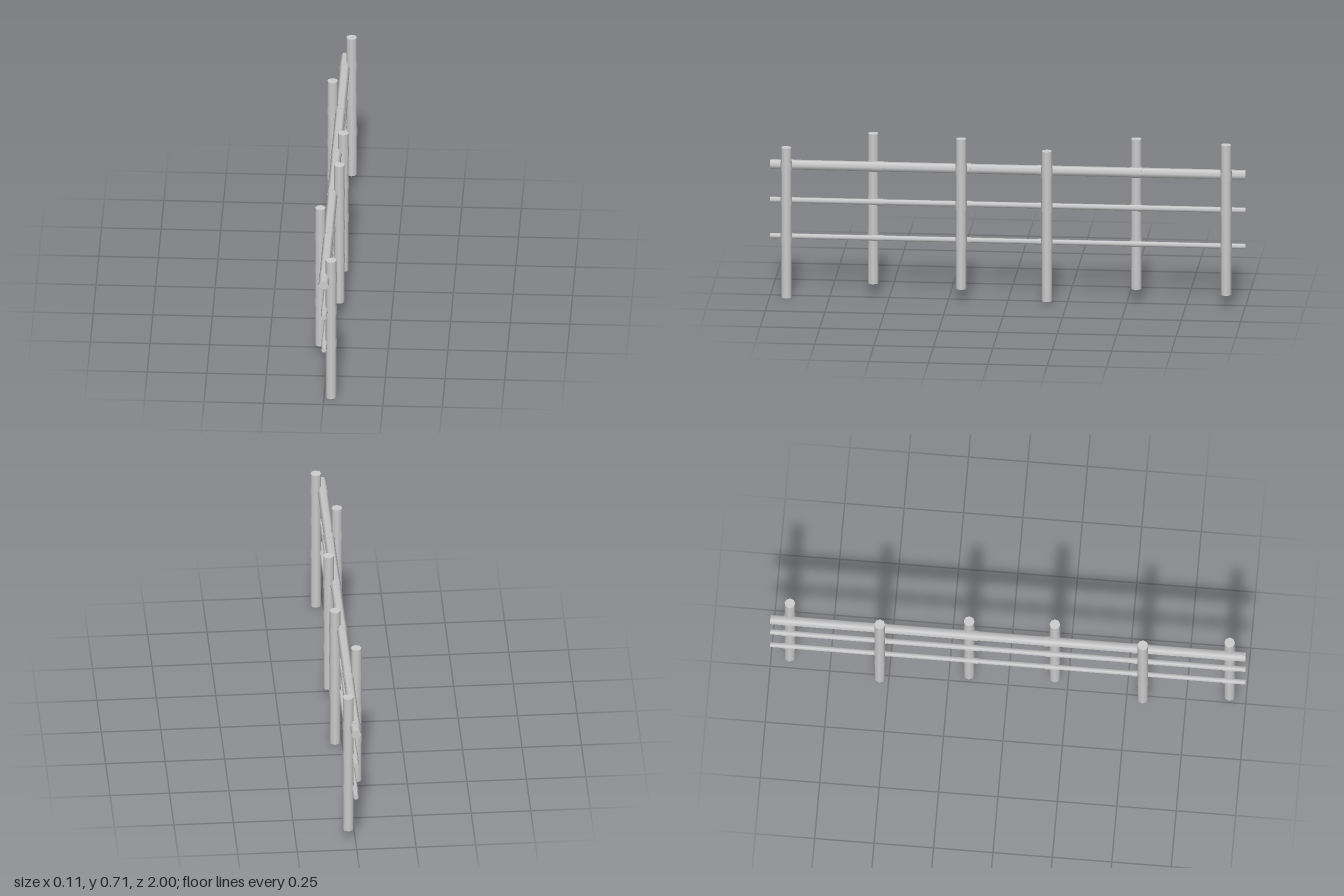
import * as THREE from 'three';

export function createModel() {
  const fence = new THREE.Group();
  fence.name = 'fence';
  const material = new THREE.MeshStandardMaterial({ color: 0xcccccc, side: THREE.DoubleSide });

  function add(name, geometry, x, y, z) {
    const mesh = new THREE.Mesh(geometry, material);
    mesh.name = name;
    mesh.position.set(x, y, z);
    fence.add(mesh);
    return mesh;
  }

  // Hexagonal pole lying along z, with corners pointing to both sides
  function pole(radius, length) {
    return new THREE.CylinderGeometry(radius, radius, length, 6)
      .rotateY(Math.PI / 2).rotateX(Math.PI / 2);
  }

  // Three long rails: x, y, radius
  const rails = [
    [0.002, 0.57, 0.0215],
    [0.003, 0.416, 0.0125],
    [0.003, 0.259, 0.0115],
  ];
  for (const [x, y, r] of rails) add('rail', pole(r, 2), x, y, 0);

  // Posts on either side of the rails: x, base height, z, shift of the rail sleeve
  const posts = [
    [0.03, 0, 0.93, 0],
    [-0.032, 0.053, 0.57, -0.022],
    [0.03, 0.055, 0.195, -0.015],
    [0.03, 0.01, -0.166, 0.015],
    [-0.032, 0.055, -0.537, 0],
    [0.03, 0.055, -0.92, 0],
  ];
  const height = 0.652;
  const postGeometry = new THREE.CylinderGeometry(0.0225, 0.0225, height, 8);
  const bandGeometry = new THREE.CylinderGeometry(0.0245, 0.0245, 0.04, 8, 1, true);

  for (const [x, base, z, shift] of posts) {
    add('post', postGeometry, x, base + height / 2, z);
    // Bindings: a band round the post and a short sleeve round each rail
    for (const [railX, y, r] of rails) {
      add('postBand', bandGeometry, x, y + 0.002, z);
      add('railSleeve', pole(r + 0.002, 0.05), railX, y, z + shift);
    }
  }
  return fence;
}
